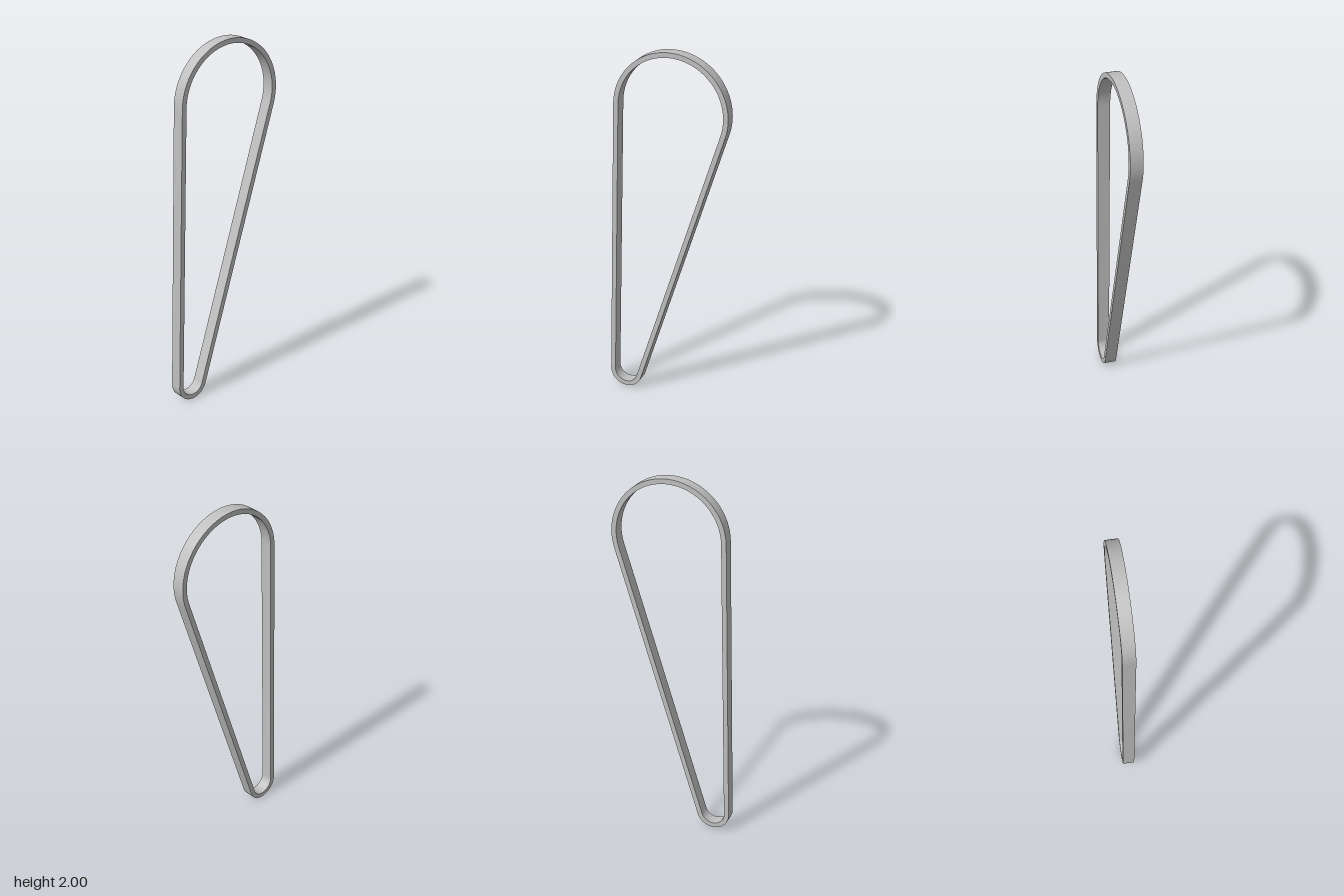
import * as THREE from 'three';
import { toCreasedNormals } from 'three/addons/utils/BufferGeometryUtils.js';

const WIDTH = 0.067, THICKNESS = 0.027;
// The two wheels the belt wraps, in the (z, y) plane, with outer radii
const TOP = { z: -0.021, y: 1.684, r: 0.316 };
const BOTTOM = { z: 0.247, y: 0.094, r: 0.094 };

// Closed loop of two arcs joined by their common tangents
function traceLoop(path, inset) {
  const dz = TOP.z - BOTTOM.z, dy = TOP.y - BOTTOM.y;
  const axis = Math.atan2(dy, dz);
  const wrap = Math.acos((BOTTOM.r - TOP.r) / Math.hypot(dz, dy));
  path.absarc(TOP.z, TOP.y, TOP.r - inset, axis - wrap, axis + wrap, false);
  path.absarc(BOTTOM.z, BOTTOM.y, BOTTOM.r - inset, axis + wrap, axis - wrap + Math.PI * 2, false);
  path.closePath();
  return path;
}

export function createModel() {
  const group = new THREE.Group();
  group.name = 'driveBelt';
  const rubber = new THREE.MeshStandardMaterial({ color: 0xc0c0c0 });
  rubber.name = 'beltGrey';

  // Flat band with a hollow centre
  const outline = traceLoop(new THREE.Shape(), 0);
  outline.holes.push(traceLoop(new THREE.Path(), THICKNESS));
  let geometry = new THREE.ExtrudeGeometry(outline, {
    depth: WIDTH, bevelEnabled: false, curveSegments: 48,
  });
  geometry.translate(0, 0, -WIDTH / 2);
  geometry.rotateY(-Math.PI / 2); // profile plane becomes z-y
  geometry = toCreasedNormals(geometry, 0.5);

  const belt = new THREE.Mesh(geometry, rubber);
  belt.name = 'belt';
  group.add(belt);
  return group;
}
